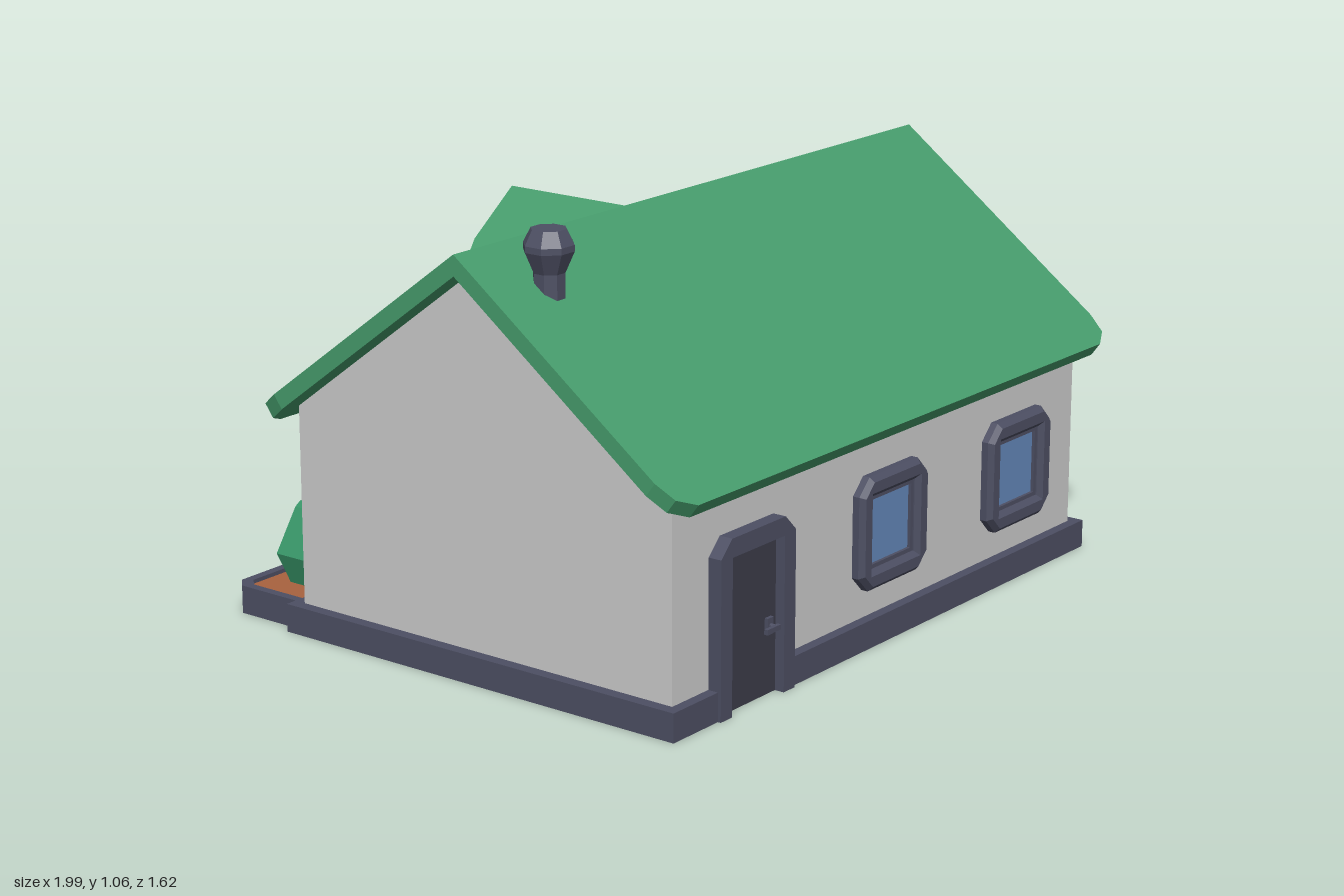
import * as THREE from 'three';

const mat = (color, extra = {}) => new THREE.MeshStandardMaterial({ color, flatShading: true, ...extra });
const WALL = mat(0xcccccc), SLATE = mat(0x4d4f63), DOOR = mat(0x3c3c4a), ROOF = mat(0x469c6c),
  SOIL = mat(0xa8623f), LEAF = mat(0x3a9a6c), GLASS = mat(0x6488bb);

const shapeOf = (pts) => new THREE.Shape(pts.map(([x, y]) => new THREE.Vector2(x, y)));

function add(parent, name, geometry, material, x = 0, y = 0, z = 0) {
  const mesh = new THREE.Mesh(geometry, material);
  mesh.name = name;
  mesh.position.set(x, y, z);
  parent.add(mesh);
  return mesh;
}

function group(parent, name, x = 0, y = 0, z = 0) {
  const g = new THREE.Group();
  g.name = name;
  g.position.set(x, y, z);
  parent.add(g);
  return g;
}

// Flat outline with optional hole, extruded along z, optionally with a chamfered face
function plate(outer, hole, depth, bevel = 0) {
  const s = shapeOf(outer);
  if (hole) s.holes.push(shapeOf(hole));
  return new THREE.ExtrudeGeometry(s, {
    depth: depth - bevel, bevelEnabled: bevel > 0, bevelThickness: bevel,
    bevelSize: bevel, bevelOffset: -bevel, bevelSegments: 1,
  });
}

// Plan outline (x, z) raised from y0 to y1
const slab = (outer, hole, y0, y1) =>
  plate(outer, hole, y1 - y0).rotateX(Math.PI / 2).translate(0, y1, 0);

// Rectangle with cut corners; cutBottom = 0 keeps the lower corners square
function cutRect(x0, y0, x1, y1, c, cutBottom = c) {
  const low = cutBottom
    ? [[x0, y0 + c], [x0 + c, y0], [x1 - c, y0], [x1, y0 + c]]
    : [[x0, y0], [x1, y0]];
  return [...low, [x1, y1 - c], [x1 - c, y1], [x0 + c, y1], [x0, y1 - c]];
}
const rect = (x0, y0, x1, y1) => [[x0, y0], [x1, y0], [x1, y1], [x0, y1]];

// One roof slope: points are (along ridge, down the slope); mitred at the ridge
function slope(pts, angle, t) {
  const geo = plate(pts, null, t);
  const p = geo.attributes.position;
  for (let i = 0; i < p.count; i++) {
    if (p.getZ(i) > t / 2 && p.getY(i) < 1e-6) p.setY(i, t * Math.tan(angle));
  }
  const s = Math.sin(angle), c = Math.cos(angle);
  geo.applyMatrix4(new THREE.Matrix4().makeBasis(
    new THREE.Vector3(1, 0, 0), new THREE.Vector3(0, -s, c), new THREE.Vector3(0, -c, -s)));
  geo.computeVertexNormals();
  return geo;
}

// Window on a wall plane at z = 0, facing +z
function addWindow(parent, name, w) {
  const g = group(parent, name), h = 0.14;
  add(g, 'outerFrame', plate(cutRect(-w, -h, w, h, 0.04), rect(-w + 0.05, -h + 0.05, w - 0.05, h - 0.05), 0.04, 0.012), SLATE, 0, 0, -0.01);
  add(g, 'innerFrame', plate(rect(-w + 0.036, -h + 0.036, w - 0.036, h - 0.036),
    rect(-w + 0.06, -h + 0.06, w - 0.06, h - 0.06), 0.025), SLATE, 0, 0, -0.01);
  add(g, 'glass', new THREE.BoxGeometry(2 * w - 0.11, 2 * h - 0.11, 0.01), GLASS, 0, -0.002, 0.002);
  return g;
}

// Door on a wall plane at z = 0, facing +z, standing on y = 0
function addDoor(parent, name, glazed) {
  const g = group(parent, name);
  const frame = [[-0.14, 0], [-0.098, 0], [-0.098, 0.375], [0.098, 0.375], [0.098, 0],
    [0.14, 0], [0.14, 0.38], [0.1, 0.42], [-0.1, 0.42], [-0.14, 0.38]];
  add(g, 'doorFrame', plate(frame, null, 0.045), SLATE, 0, 0, -0.01);
  add(g, 'doorLeaf', new THREE.BoxGeometry(0.2, 0.376, 0.02), DOOR, 0, 0.188, 0);
  if (glazed) {
    add(g, 'paneFrame', plate(rect(-0.045, 0.1, 0.045, 0.335), rect(-0.03, 0.115, 0.03, 0.32), 0.01), SLATE, 0, 0, 0.008);
    add(g, 'pane', new THREE.BoxGeometry(0.062, 0.207, 0.006), GLASS, 0, 0.2175, 0.01);
  }
  add(g, 'handlePlate', new THREE.BoxGeometry(0.022, 0.04, 0.01), SLATE, 0.068, 0.165, 0.014);
  add(g, 'handleStem', new THREE.CylinderGeometry(0.007, 0.007, 0.025, 6).rotateX(Math.PI / 2), SLATE, 0.068, 0.165, 0.025);
  add(g, 'handleLever', new THREE.BoxGeometry(0.05, 0.012, 0.01), SLATE, 0.053, 0.165, 0.035);
  return g;
}

function addPlanter(parent, name, outer, inner, bushes) {
  const g = group(parent, name);
  add(g, 'planterBase', slab(outer, null, 0, 0.05), SLATE);
  add(g, 'planterRim', slab(outer, inner, 0.045, 0.07), SLATE);
  add(g, 'soil', slab(inner, null, 0.045, 0.06), SOIL);
  bushes.forEach(([x, z, r, top], i) => {
    const h = top - 0.055;
    const profile = [[0, 0], [0.65, 0], [1, 0.42], [0.5, 1], [0, 1]]
      .map(([a, b]) => new THREE.Vector2(a * r, b * h));
    add(g, 'bush', new THREE.LatheGeometry(profile, 6), LEAF, x, 0.055, z).rotation.y = (i % 3) * 0.12;
  });
}

export function createModel() {
  const house = new THREE.Group();
  house.name = 'house';
  const CX = -0.105, RIDGE_Z = 0.18, FRONT = 0.735, BACK = -0.37;
  const pitch = Math.atan2(0.47, 0.63), cosP = Math.cos(pitch);

  // Foundation with notches at the doors
  add(house, 'foundation', slab([[-0.96, -0.4], [-0.203, -0.4], [-0.203, BACK], [-0.007, BACK], [-0.007, -0.4],
    [0.75, -0.4], [0.75, 0.762], [-0.56, 0.762], [-0.56, FRONT], [-0.757, FRONT], [-0.757, 0.762], [-0.96, 0.762]],
  null, 0, 0.07), SLATE);

  // Walls with gables, profile drawn in z and y and extruded along x
  const walls = plate([[-FRONT, 0.04], [-BACK, 0.04], [-BACK, 0.56], [-RIDGE_Z, 0.972], [-FRONT, 0.56]], null, 1.65);
  add(house, 'walls', walls.rotateY(Math.PI / 2), WALL, -0.93);

  // Main roof
  const hw = 0.895, len = 0.63 / cosP;
  const half = [[-hw, 0], [hw, 0], [hw, len - 0.085], [hw - 0.016, len - 0.03], [hw - 0.065, len],
    [-hw + 0.065, len], [-hw + 0.016, len - 0.03], [-hw, len - 0.085]];
  for (const turn of [0, Math.PI]) {
    add(house, 'roofSlope', slope(half, pitch, 0.04), ROOF, CX, 1.02, RIDGE_Z).rotation.y = turn;
  }

  // Dormer
  const dormer = group(house, 'dormer', CX, 0, 0);
  add(dormer, 'dormerWalls', plate([[-0.18, 0.6], [0.18, 0.6], [0.18, 0.75], [0, 0.886], [-0.18, 0.75]], null, 0.36),
    WALL, 0, 0, -0.34);
  const dl = 0.205 / cosP;
  for (const s of [1, -1]) {
    const pts = [[-0.09, 0], [0.41, 0], [0.41, dl - 0.075], [0.395, dl - 0.025], [0.345, dl], [0.11, dl]]
      .map(([u, v]) => [u * s, v]);
    add(dormer, 'dormerRoofSlope', slope(pts, pitch, 0.04), ROOF, 0, 0.935, 0).rotation.y = s * Math.PI / 2;
  }
  const tri = (w, y0, y1, y2) => [[-w, y0], [w, y0], [w, y1], [0, y2], [-w, y1]];
  add(dormer, 'dormerWindowFrame', plate(tri(0.15, 0.69, 0.735, 0.85), tri(0.105, 0.715, 0.728, 0.812), 0.04),
    SLATE, 0, 0, -0.37);
  add(dormer, 'dormerWindowInner', plate(tri(0.11, 0.71, 0.73, 0.815), tri(0.075, 0.73, 0.735, 0.793), 0.025),
    SLATE, 0, 0, -0.355);
  add(dormer, 'dormerGlass', plate(tri(0.08, 0.725, 0.735, 0.798), null, 0.01), GLASS, 0, 0, -0.348);

  // Chimney
  const flue = [[0, 0], [0.038, 0], [0.038, 0.13], [0.06, 0.18], [0.06, 0.195], [0.042, 0.23], [0, 0.23]]
    .map(([r, y]) => new THREE.Vector2(r, y));
  add(house, 'chimney', new THREE.LatheGeometry(flue, 8), SLATE, -0.815, 0.833, 0.3).rotation.y = Math.PI / 8;

  // Doors and windows
  addDoor(house, 'frontDoor', false).position.set(-0.659, 0, FRONT);
  for (const x of [CX, 0.445]) addWindow(house, 'frontWindow', 0.14).position.set(x, 0.28, FRONT);
  const back = group(house, 'backOpenings', CX, 0, BACK);
  back.rotation.y = Math.PI;
  addDoor(back, 'backDoor', true);
  for (const x of [-0.55, 0.55]) addWindow(back, 'backWindow', 0.215).position.set(x, 0.28, 0);

  // Planters
  const octagon = (r) => Array.from({ length: 8 }, (_, i) =>
    [0.58 + r * Math.cos(i * Math.PI / 4), -0.4 + r * Math.sin(i * Math.PI / 4)]);
  addPlanter(house, 'octagonPlanter', octagon(0.412), octagon(0.38), [
    [0.37, -0.54, 0.1, 0.25], [0.54, -0.61, 0.06, 0.14], [0.5, -0.5, 0.095, 0.24],
    [0.72, -0.55, 0.1, 0.25], [0.82, -0.46, 0.062, 0.14], [0.82, -0.31, 0.1, 0.2]]);
  addPlanter(house, 'boxPlanter', cutRect(-0.93, -0.608, -0.385, -0.36, 0.03), cutRect(-0.907, -0.585, -0.408, -0.375, 0.024), [
    [-0.76, -0.49, 0.1, 0.25], [-0.56, -0.49, 0.09, 0.2]]);

  return house;
}
